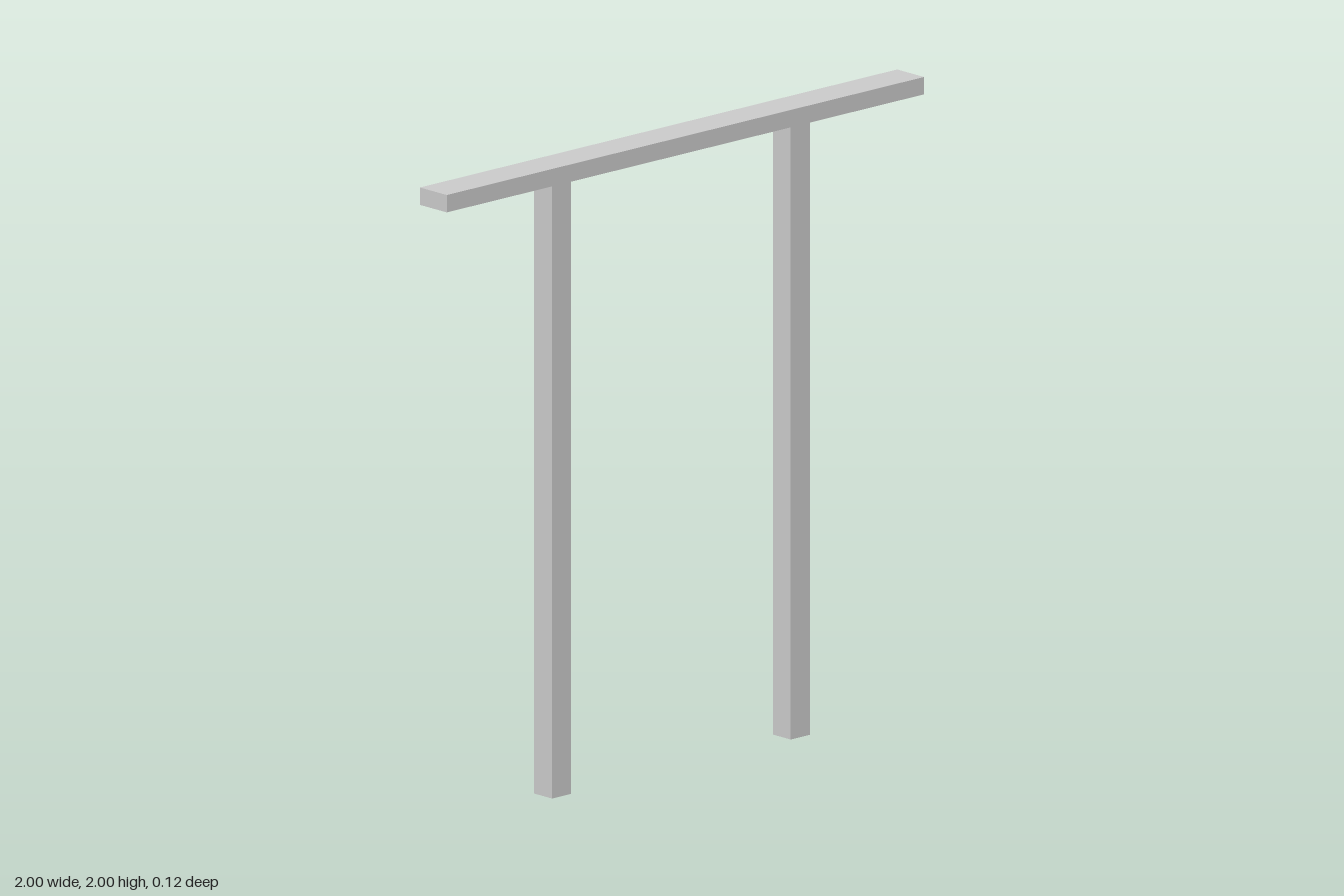
import * as THREE from 'three';

export function createModel() {
  const model = new THREE.Group();
  const material = new THREE.MeshStandardMaterial({ color: 0xcccccc, flatShading: true });
  const height = 2, beamHeight = 0.055, beamDepth = 0.12, postWidth = 0.08;
  const postHeight = height - beamHeight;

  const addBox = (name, size, position) => {
    const mesh = new THREE.Mesh(new THREE.BoxGeometry(...size), material);
    mesh.name = name;
    mesh.position.set(...position);
    model.add(mesh);
  };

  // Long rail across the top
  addBox('topBeam', [2, beamHeight, beamDepth], [0, height - beamHeight / 2, 0]);

  // Two square posts, mirrored about the centre
  for (const [name, side] of [['leftPost', 1], ['rightPost', -1]]) {
    addBox(name, [postWidth, postHeight, postWidth], [side * 0.5, postHeight / 2, 0]);
  }

  return model;
}
